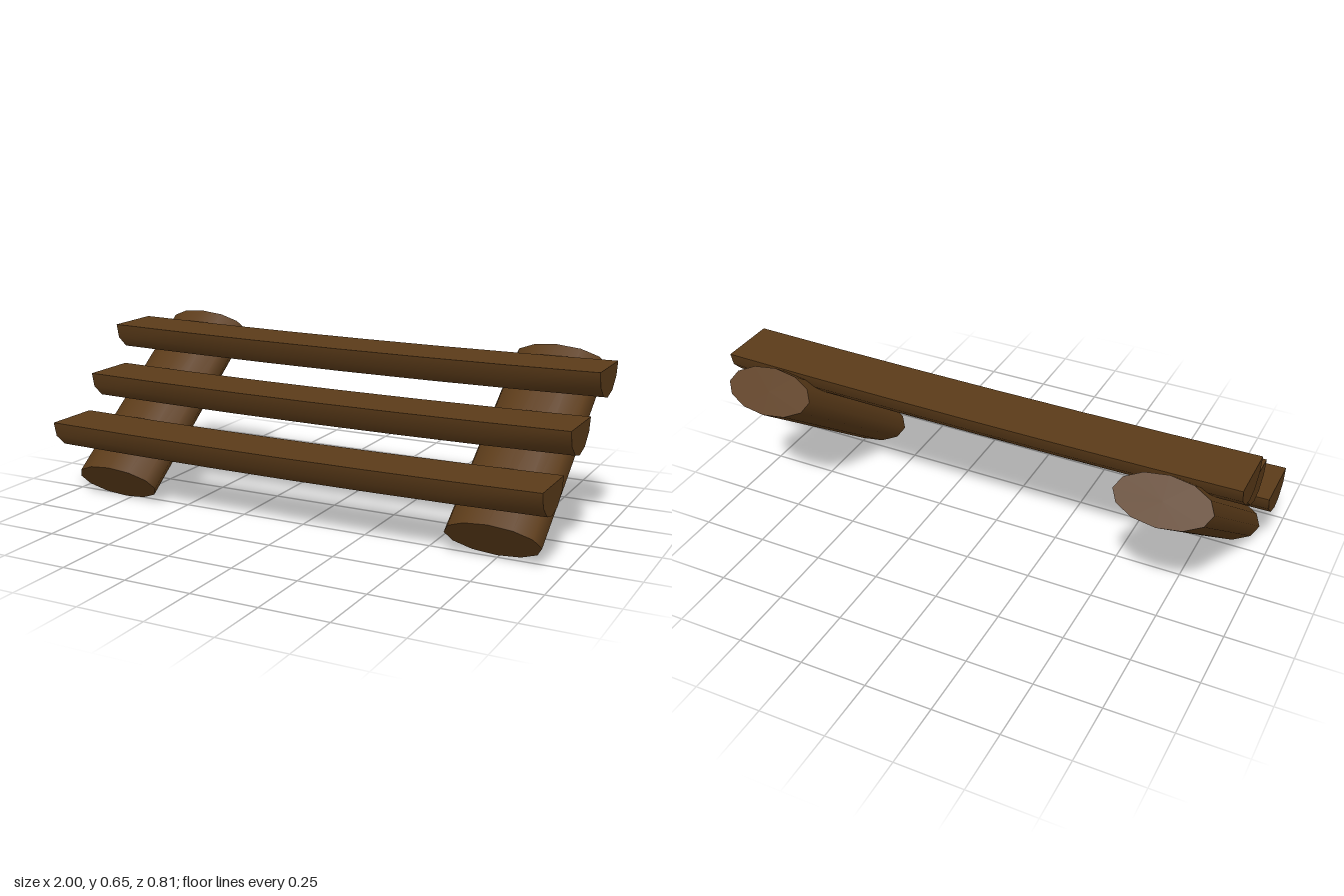
import * as THREE from 'three';
import { toCreasedNormals } from 'three/addons/utils/BufferGeometryUtils.js';

const wood = new THREE.MeshStandardMaterial({ color: 0x5b3b19 });

// Half-round cross-section: flat top, rounded underside (depth towards the back, height)
const profile = [
  [0, 0], [0.013, -0.055], [0.058, -0.097], [0.108, -0.108],
  [0.163, -0.093], [0.208, -0.05], [0.221, 0],
].map(([u, v]) => new THREE.Vector2(u, v));

// Half-log tread from x0 to x1 that sags slightly in the middle
function makeTread(x0, x1, top, front) {
  const raw = new THREE.ExtrudeGeometry(new THREE.Shape(profile), {
    depth: x1 - x0, steps: 6, bevelEnabled: false,
  });
  raw.rotateY(Math.PI / 2).translate(x0, top, front);
  const p = raw.attributes.position;
  const mid = (x0 + x1) / 2;
  const half = (x1 - x0) / 2;
  for (let i = 0; i < p.count; i++) {
    const t = (p.getX(i) - mid) / half;
    p.setY(i, p.getY(i) - 0.009 * (1 - t * t));
  }
  return new THREE.Mesh(toCreasedNormals(raw, 0.8), wood);
}

// Flattened log leaning backwards, carrying the treads
function makeSupport(x, y, z, length) {
  const geometry = new THREE.CylinderGeometry(0.175, 0.175, length, 12);
  geometry.scale(1, 1, 0.505);
  const mesh = new THREE.Mesh(geometry, wood);
  mesh.position.set(x, y, z);
  mesh.rotation.set(-0.922, 0, -0.011);
  return mesh;
}

export function createModel() {
  const group = new THREE.Group();
  group.name = 'logSteps';

  // Two sloping supports
  const right = makeSupport(-0.772, 0.326, -0.016, 0.837);
  right.name = 'rightSupportLog';
  const left = makeSupport(0.755, 0.329, -0.016, 0.815);
  left.name = 'leftSupportLog';
  group.add(right, left);

  // Three treads, each with slightly different ends
  const treads = [
    ['lowerTread', -1.0, 0.95, 0.303, 0.405],
    ['middleTread', -0.967, 0.973, 0.46, 0.2],
    ['upperTread', -0.998, 1.0, 0.617, -0.015],
  ];
  for (const [name, x0, x1, top, front] of treads) {
    const tread = makeTread(x0, x1, top, front);
    tread.name = name;
    group.add(tread);
  }
  return group;
}
